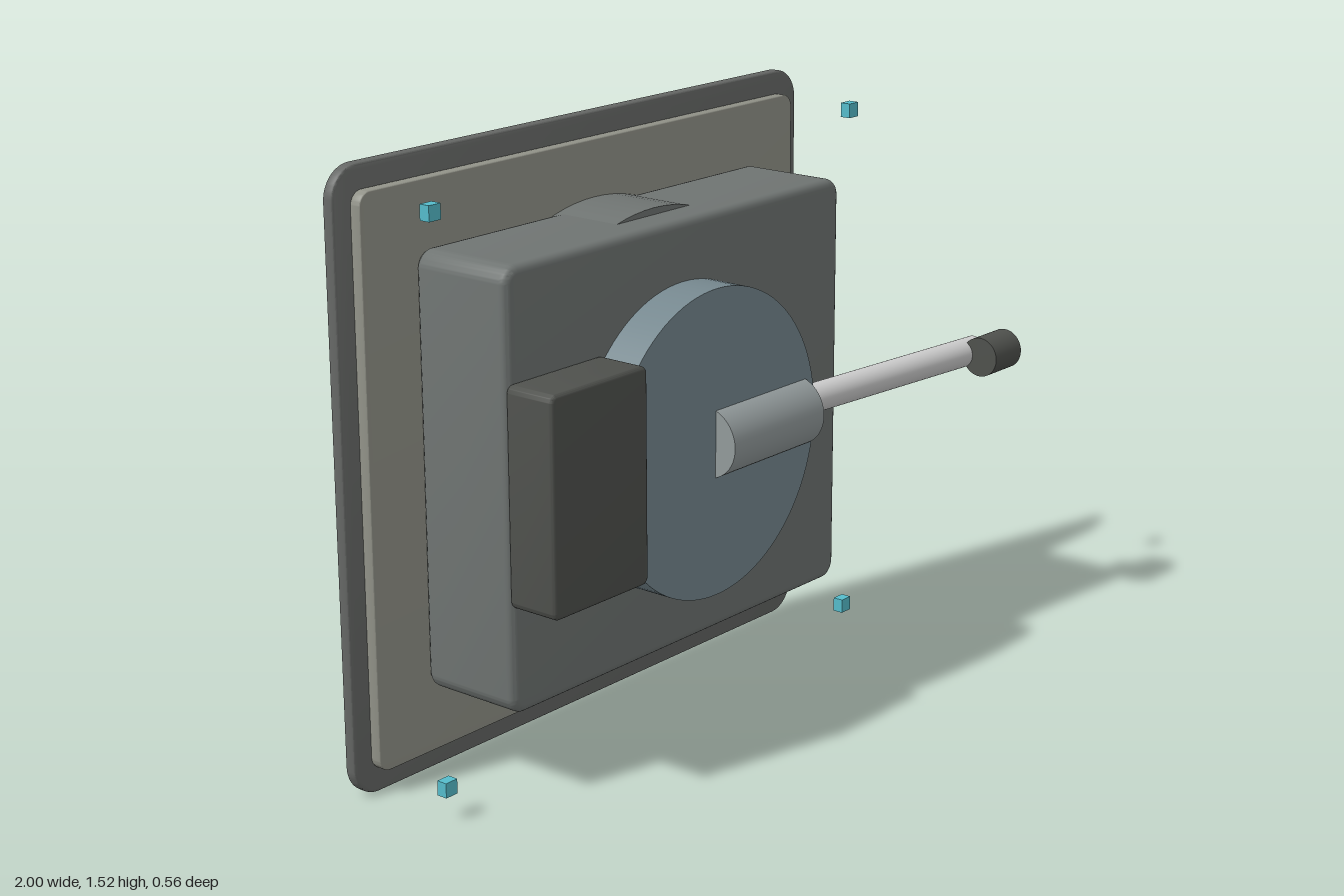
import * as THREE from 'three';
import { toCreasedNormals } from 'three/addons/utils/BufferGeometryUtils.js';

const CX = -0.16, CY = 0.762;

export function createModel() {
  const model = new THREE.Group();
  model.name = 'wallUnit';

  const mat = (color) => new THREE.MeshStandardMaterial({ color });
  const plateGrey = mat(0x666866), panelGrey = mat(0x929389), bodyGrey = mat(0x6f7472);
  const discBlue = mat(0x76888f), dark = mat(0x4f514d), hubGrey = mat(0x929a9b);
  const rodGrey = mat(0xc8c8c8), teal = mat(0x55bccb);

  function add(name, geometry, material, x = 0, y = 0, z = 0) {
    const mesh = new THREE.Mesh(geometry, material);
    mesh.name = name;
    mesh.position.set(x, y, z);
    model.add(mesh);
    return mesh;
  }

  // Slab with rounded corners and softened edges, given by its limits
  function slab(name, x0, x1, y0, y1, z0, z1, radius, bevel, material) {
    const w = (x1 - x0) / 2 - bevel, h = (y1 - y0) / 2 - bevel;
    const r = Math.max(radius - bevel, 0.002);
    const s = new THREE.Shape();
    s.absarc(w - r, h - r, r, 0, Math.PI / 2);
    s.absarc(-w + r, h - r, r, Math.PI / 2, Math.PI);
    s.absarc(-w + r, -h + r, r, Math.PI, Math.PI * 1.5);
    s.absarc(w - r, -h + r, r, Math.PI * 1.5, Math.PI * 2);
    const geo = new THREE.ExtrudeGeometry(s, {
      depth: z1 - z0 - 2 * bevel, bevelSize: bevel, bevelThickness: bevel,
      bevelSegments: 4, curveSegments: 8,
    });
    geo.translate(0, 0, bevel);
    return add(name, toCreasedNormals(geo, 0.6), material, (x0 + x1) / 2, (y0 + y1) / 2, z0);
  }

  // Round bar between two points
  function bar(name, a, b, radius, material, sides = 48) {
    const from = new THREE.Vector3(...a), to = new THREE.Vector3(...b);
    const dir = to.clone().sub(from);
    const mesh = add(name, new THREE.CylinderGeometry(radius, radius, dir.length(), sides), material);
    mesh.position.copy(from).addScaledVector(dir, 0.5);
    mesh.quaternion.setFromUnitVectors(new THREE.Vector3(0, 1, 0), dir.normalize());
    return mesh;
  }

  // Stacked plates and housing
  slab('backPlate', -1, 0.68, 0, 1.52, -0.28, -0.25, 0.08, 0.006, plateGrey);
  slab('facePanel', -0.945, 0.625, 0.06, 1.46, -0.25, -0.22, 0.035, 0.003, panelGrey);
  slab('housing', -0.78, 0.465, 0.224, 1.3, -0.22, 0.06, 0.045, 0.02, bodyGrey);
  bar('innerDrum', [CX, CY, -0.22], [CX, CY, -0.03], 0.555, bodyGrey, 96);

  // Turning disc and side box
  bar('disc', [CX, CY, 0.05], [CX, CY, 0.165], 0.387, discBlue, 96);
  slab('sideBox', -0.78, -0.45, 0.494, 1.03, 0.055, 0.195, 0.02, 0.01, dark);
  for (let i = 0; i < 5; i++) {
    const x = -0.695 + i * 0.04;
    bar('terminalPin', [x, 0.486, 0.125], [x, 0.51, 0.125], 0.009, dark, 12);
  }

  // Hub, lever and knob
  bar('hub', [-0.165, CY, 0.135], [0.19, CY, 0.135], 0.09, hubGrey);
  bar('lever', [0.215, CY, 0.103], [0.935, CY, 0.171], 0.038, rodGrey);
  bar('knob', [0.88, CY, 0.227], [1, CY, 0.227], 0.053, dark);

  // Free-standing corner markers
  for (const x of [-0.927, 0.607]) {
    for (const y of [0.08, 1.444]) {
      add('cornerMarker', new THREE.BoxGeometry(0.037, 0.037, 0.028), teal, x, y, -0.017);
    }
  }
  return model;
}
